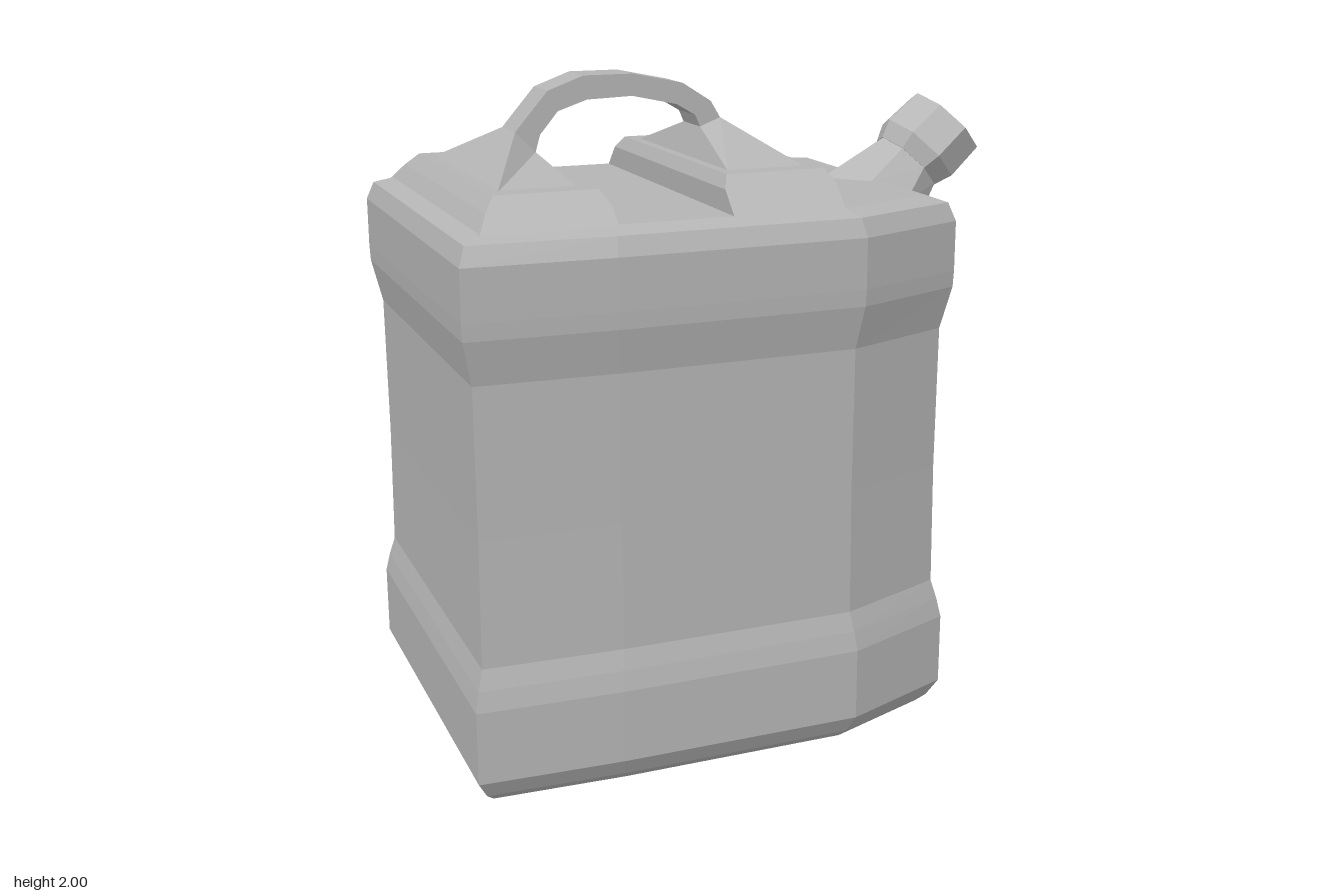
import * as THREE from 'three';

const plastic = new THREE.MeshStandardMaterial({ color: 0xb4b4b4, flatShading: true });
plastic.name = 'grey plastic';

// Skins a list of equal-length rings of [x, y, z] points and closes both ends.
function loft(name, rings) {
  const tris = [];
  const n = rings[0].length;
  for (let r = 0; r < rings.length - 1; r++) {
    for (let i = 0; i < n; i++) {
      const j = (i + 1) % n;
      const a = rings[r][i], b = rings[r][j], c = rings[r + 1][j], d = rings[r + 1][i];
      tris.push([a, b, c], [a, c, d]);
    }
  }
  const first = rings[0], last = rings[rings.length - 1];
  for (let i = 1; i < n - 1; i++) {
    tris.push([first[0], first[i + 1], first[i]], [last[0], last[i], last[i + 1]]);
  }
  // Signed volume tells whether the faces point outward
  let volume = 0;
  for (const t of tris) {
    const [a, b, c] = t.map((p) => new THREE.Vector3(...p));
    volume += a.dot(b.cross(c));
  }
  if (volume < 0) tris.forEach((t) => t.reverse());
  const geometry = new THREE.BufferGeometry();
  geometry.setAttribute('position', new THREE.Float32BufferAttribute(tris.flat(2), 3));
  geometry.computeVertexNormals();
  const mesh = new THREE.Mesh(geometry, plastic);
  mesh.name = name;
  return mesh;
}

const rect = (y, x0, x1, z) => [[x0, y, -z], [x0, y, z], [x1, y, z], [x1, y, -z]];

// Octagon across the tilted spout axis, one corner pointing up
function octagon(cx, cy, radius) {
  return Array.from({ length: 8 }, (_, i) => {
    const a = (i * Math.PI) / 4;
    const up = radius * Math.cos(a) * Math.SQRT1_2;
    return [cx - up, cy + up, radius * Math.sin(a)];
  });
}

export function createModel() {
  const model = new THREE.Group();
  model.name = 'jerrycan';

  // Body: one outline stacked at several heights with different insets
  const half = [[-0.93, 0.59], [-0.5, 0.61], [0.25, 0.61], [0.615, 0.47]];
  const outline = [...half, ...half.map(([x, z]) => [x, -z]).reverse()];
  const levels = [
    [0, 0.055], [0.025, 0.03], [0.08, 0], [0.3, 0], [0.36, 0.012], [0.42, 0.028],
    [0.8, 0.032], [1.24, 0.03], [1.37, 0.002], [1.42, 0], [1.57, 0], [1.625, 0.02], [1.645, 0.075],
  ];
  const body = levels.map(([y, inset]) => outline.map(([x, z]) => [
    -0.16 + (x + 0.16) * (1 - inset / 0.77), y, z * (1 - inset / 0.61),
  ]));
  model.add(loft('body', body));

  // Raised ridges on the top
  model.add(loft('rearRidge', [
    rect(1.64, -0.86, -0.47, 0.54), rect(1.69, -0.825, -0.47, 0.48), rect(1.728, -0.79, -0.49, 0.43),
  ]));
  model.add(loft('frontRidge', [
    rect(1.64, -0.13, 0.215, 0.54), rect(1.71, -0.13, 0.215, 0.47), rect(1.747, -0.11, 0.195, 0.43),
  ]));

  // Flared handle mounts
  const w = 0.068;
  model.add(loft('rearHandleMount', [
    rect(1.725, -0.76, -0.53, 0.37),
    [[-0.62, 1.845, -w], [-0.62, 1.845, w], [-0.56, 1.785, w], [-0.56, 1.785, -w]],
  ]));
  model.add(loft('frontHandleMount', [
    rect(1.745, -0.08, 0.16, 0.37),
    [[-0.045, 1.835, -w], [-0.045, 1.835, w], [0.02, 1.86, w], [0.02, 1.86, -w]],
  ]));

  // Handle: outer x, y and inner x, y along the arch
  const arch = [
    [-0.62, 1.845, -0.56, 1.785], [-0.59, 1.88, -0.545, 1.835], [-0.52, 1.96, -0.49, 1.9],
    [-0.41, 2, -0.4, 1.93], [-0.26, 2, -0.26, 1.935], [-0.1, 1.967, -0.12, 1.905],
    [-0.01, 1.91, -0.06, 1.87], [0.02, 1.86, -0.045, 1.835],
  ];
  model.add(loft('handle', arch.map(([ox, oy, ix, iy]) => [
    [ox, oy, -w], [ox, oy, w], [ix, iy, w], [ix, iy, -w],
  ])));

  // Spout neck, spreading over the body's upper edge
  model.add(loft('spoutNeck', [
    [[0.39, 1.64, 0], [0.5, 1.64, 0.13], [0.612, 1.58, 0.165], [0.605, 1.39, 0.145],
      [0.59, 1.27, 0], [0.605, 1.39, -0.145], [0.612, 1.58, -0.165], [0.5, 1.64, -0.13]],
    octagon(0.7, 1.68, 0.118),
  ]));

  // Spout cap
  model.add(loft('spoutCap', [
    octagon(0.696, 1.676, 0.122), octagon(0.735, 1.715, 0.145), octagon(0.83, 1.798, 0.139),
  ]));
  return model;
}
